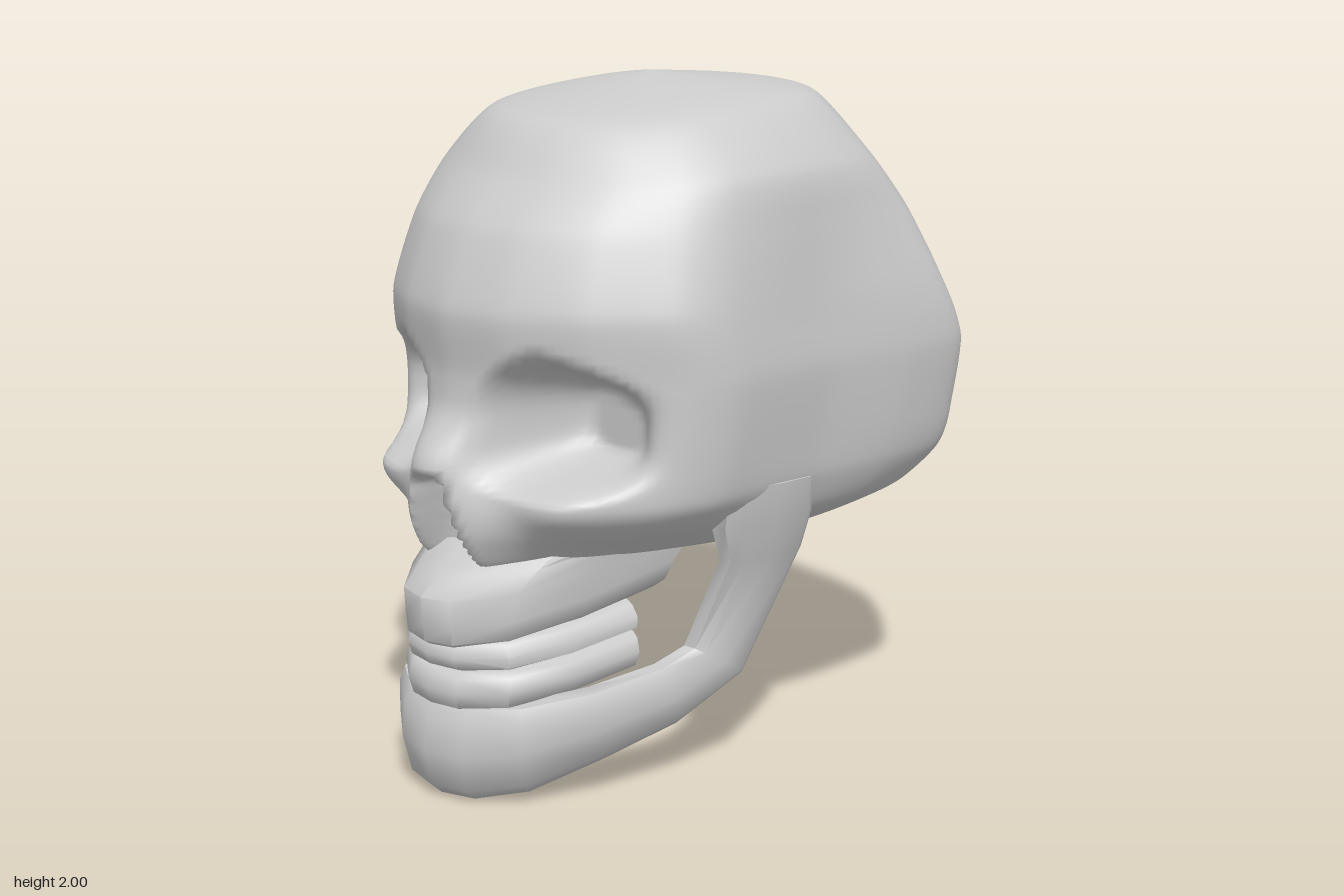
import * as THREE from 'three';
import { toCreasedNormals } from 'three/addons/utils/BufferGeometryUtils.js';

const material = new THREE.MeshStandardMaterial({ color: 0xcccccc });
const V = (x, y, z) => new THREE.Vector3(x, y, z);
const step = THREE.MathUtils.smoothstep;
const lerp = THREE.MathUtils.lerp;
const bell = (v, width, power = 2) => Math.exp(-(Math.abs(v / width) ** power));

// Skin a list of closed rings, with a fan over each end
function loft(rings, crease) {
  const n = rings[0].length, index = [];
  const points = rings.flat();
  for (let i = 0; i < rings.length - 1; i++) {
    for (let j = 0; j < n; j++) {
      const a = i * n + j, b = i * n + (j + 1) % n;
      index.push(a, b, b + n, a, b + n, a + n);
    }
  }
  for (const last of [false, true]) {
    const ring = last ? rings[rings.length - 1] : rings[0];
    const start = last ? (rings.length - 1) * n : 0;
    const centre = points.length;
    points.push(ring.reduce((s, p) => s.add(p), V(0, 0, 0)).divideScalar(n));
    for (let j = 0; j < n; j++) {
      const a = start + j, b = start + (j + 1) % n;
      if (last) index.push(centre, a, b); else index.push(centre, b, a);
    }
  }
  const geometry = new THREE.BufferGeometry().setFromPoints(points);
  geometry.setIndex(index);
  geometry.computeVertexNormals();
  return crease ? toCreasedNormals(geometry, crease) : geometry;
}

function part(name, geometry) {
  const mesh = new THREE.Mesh(geometry, material);
  mesh.name = name;
  return mesh;
}

// Mirror a half outline whose first point lies on the centre line
const mirrorOutline = (half) => {
  const closedBack = half[half.length - 1][0] === 0;
  const back = half.slice(1, closedBack ? -1 : undefined).reverse();
  return [...half, ...back.map(([x, z]) => [-x, z])];
};

// Cheeks, eye sockets, nose bridge and nose opening worked into the face
function shapeFace(p) {
  const y = p.y;
  p.x *= 1 - 0.28 * step(p.z, 0, 0.5) * (1 - step(y, 0.66, 0.88));
  if (p.z < 0.25) return p;
  const ax = Math.abs(p.x);
  p.z += 0.07 * bell(ax - 0.4, 0.16) * bell(y - 0.87, 0.1);
  const ridge = lerp(0.05, 0.09, step(y, 0.65, 0.95)) * (1 - step(y, 0.96, 1.14));
  p.z += ridge * bell(ax, lerp(0.18, 0.1, step(y, 0.75, 1.02)), 3);
  const top = ax < 0.27 ? 1.22 + 0.3 * ax : 1.38 - 0.29 * ax;
  const ry = y > 1.08 ? top - 1.08 : 0.18;
  const r = (Math.abs((ax - 0.335) / 0.235) ** 3 + Math.abs((y - 1.08) / ry) ** 3) ** (1 / 3);
  p.z = lerp(p.z, Math.min(p.z, 0.45), 1 - step(r, 0.4, 1.06));
  const half = 0.045 + (0.93 - y) * 0.25;
  const hole = (1 - step(ax, half - 0.03, half + 0.015)) * step(y, 0.6, 0.68) * (1 - step(y, 0.91, 0.95));
  p.z = lerp(p.z, 0.72, hole);
  return p;
}

function cranium() {
  // Plan outline: x as a share of the half width, z from -1 at the back to 1 at the front
  const outline = mirrorOutline([[0, 1], [0.3, 0.95], [0.6, 0.81], [0.86, 0.58], [0.94, 0.4],
    [0.94, -0.04], [1, -0.4], [0.98, -0.68], [0.67, -0.9], [0.36, -0.985], [0, -1]]);
  const plan = new THREE.CatmullRomCurve3(outline.map(([x, z]) => V(x, 0, z)), true, 'catmullrom', 0.3)
    .getSpacedPoints(180).slice(0, -1);
  // Levels: front height, half width, front z, back z, back height where it differs
  const levels = [
    [0.655, 0, 0.1, 0.1], [0.648, 0.2, 0.6, -0.3], [0.66, 0.34, 0.76, -0.5], [0.7, 0.47, 0.79, -0.65],
    [0.78, 0.59, 0.8, -0.77], [0.89, 0.65, 0.8, -0.86], [1.02, 0.672, 0.8, -0.875],
    [1.22, 0.69, 0.785, -0.89], [1.4, 0.668, 0.8, -0.825], [1.61, 0.63, 0.72, -0.75],
    [1.75, 0.59, 0.605, -0.625, 1.77], [1.89, 0.44, 0.48, -0.48, 1.945],
    [1.96, 0.23, 0.2, -0.22, 1.98], [2, 0, 0, 0]];
  const curve = (pick) => new THREE.CatmullRomCurve3(levels.map(pick), false, 'catmullrom', 0.35);
  const front = curve(([y, w, f]) => V(w, y, f));
  const back = curve(([y, w, f, b, yb = y]) => V(w, yb, b));
  const rows = (levels.length - 1) * 8, rings = [];
  for (let i = 0; i <= rows; i++) {
    const f = front.getPoint(i / rows), b = back.getPoint(i / rows);
    // Levels grow rounder towards the crown and the base
    const round = 0.75 * step(Math.abs(f.y - 1.15), 0.15, 0.7);
    rings.push(plan.map((p) => {
      const k = lerp(1, 1 / Math.hypot(p.x, p.z), round);
      const s = (p.z * k + 1) / 2;
      return shapeFace(V(p.x * k * f.x, lerp(b.y, f.y, s), lerp(b.z, f.z, s)));
    }));
  }
  return loft(rings);
}

// Half of the dental arch: share of the width, share of the depth
const archHalf = [[0, 1], [0.33, 0.97], [0.72, 0.8], [0.93, 0.45], [1, 0]];

// Upper jaw: levels of front height, half width, front z and back z
function upperJaw() {
  const levels = [[0.45, 0.26, 0.86, 0.24], [0.47, 0.285, 0.885, 0.22], [0.52, 0.3, 0.89, 0.2],
    [0.6, 0.31, 0.895, 0.12], [0.65, 0.33, 0.83, 0], [0.7, 0.36, 0.75, -0.1]];
  return loft(levels.map(([y, w, f, b]) => mirrorOutline(archHalf).map(([x, s]) => {
    const z = lerp(b, f, s);
    return V(x * w, y + (0.88 - z) * 0.15, z);
  })), 0.9);
}

// Mirrored bar: half stations from the centre out, as upper edge, lower edge and inward offset
function bar(half) {
  const section = ([t, b, [ix, iz]], side) => {
    const top = V(...t), bottom = V(...b), inward = V(ix, 0, iz);
    // Share from upper to lower edge, then share of the thickness inward
    return [[0, 0.2], [0.15, 0], [0.5, -0.14], [0.88, 0], [1, 0.3], [1, 0.75], [0.85, 1], [0.5, 1.08], [0.15, 1], [0, 0.8]]
      .map(([s, k]) => {
        const p = top.clone().lerp(bottom, s).addScaledVector(inward, k);
        p.x *= side;
        return p;
      });
  };
  const right = half.slice(1).reverse().map((s) => section(s, -1));
  return loft([...right, ...half.map((s) => section(s, 1))], 0.9);
}

// Row of teeth between two front heights, rising to the back
function teeth(topY, bottomY, topWidth, bottomWidth) {
  const inward = [[0, -0.09], [-0.03, -0.085], [-0.07, -0.06], [-0.09, -0.02], [-0.09, 0]];
  return bar(archHalf.map(([x, s], i) => {
    const z = lerp(0.35, 0.865, s), rise = (0.865 - z) * 0.11;
    return [[x * topWidth, topY + rise, z], [x * bottomWidth, bottomY + rise, z], inward[i]];
  }));
}

function lowerJaw() {
  return bar([
    [[0, 0.28, 0.88], [0, 0.005, 0.87], [0, -0.12]],
    [[0.13, 0.285, 0.86], [0.12, 0.008, 0.84], [-0.03, -0.12]],
    [[0.27, 0.3, 0.77], [0.25, 0.035, 0.73], [-0.07, -0.09]],
    [[0.385, 0.33, 0.59], [0.36, 0.11, 0.53], [-0.09, -0.05]],
    [[0.44, 0.365, 0.37], [0.43, 0.18, 0.3], [-0.08, -0.02]],
    [[0.45, 0.4, 0.25], [0.49, 0.3, 0.09], [-0.07, 0]],
    [[0.55, 0.67, 0.21], [0.57, 0.665, -0.07], [-0.07, 0]],
    [[0.58, 0.78, 0.26], [0.615, 0.78, -0.07], [-0.09, 0]],
    [[0.6, 0.9, 0.26], [0.62, 0.89, -0.07], [-0.09, 0]]]);
}

export function createModel() {
  const skull = new THREE.Group();
  skull.name = 'skull';
  skull.add(
    part('cranium', cranium()),
    part('upperJaw', upperJaw()),
    part('upperTeeth', teeth(0.475, 0.388, 0.28, 0.305)),
    part('lowerTeeth', teeth(0.385, 0.27, 0.305, 0.295)),
    part('lowerJaw', lowerJaw()),
  );
  return skull;
}
